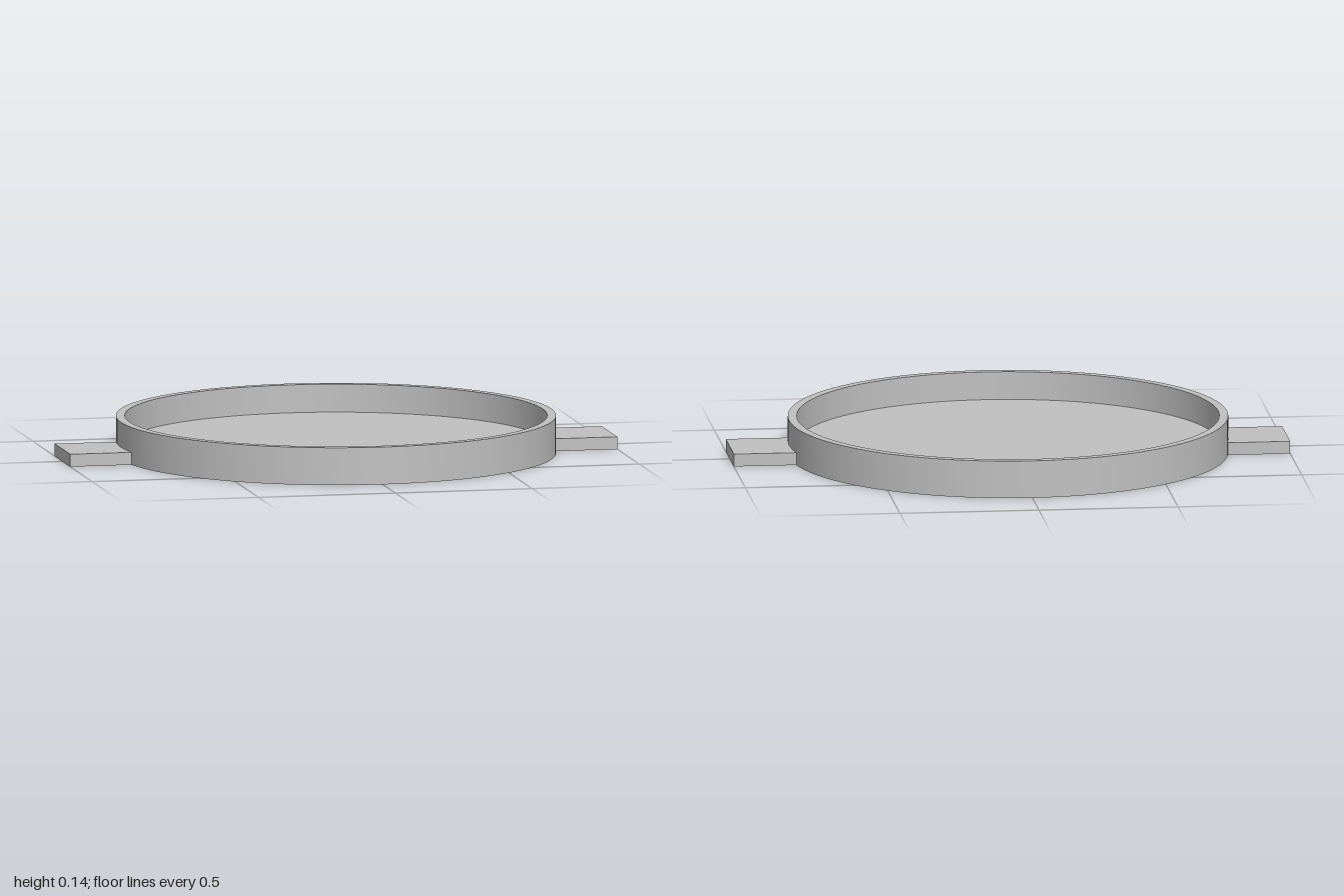
import * as THREE from 'three';
import { toCreasedNormals } from 'three/addons/utils/BufferGeometryUtils.js';

export function createModel() {
  const model = new THREE.Group();
  model.name = 'roundTray';
  const grey = new THREE.MeshStandardMaterial({ color: 0xc0c0c0 });
  grey.name = 'lightGrey';

  // Shallow round dish: base, outer wall, rim, inner wall and floor
  const outer = 0.787, inner = 0.755, height = 0.135, floor = 0.034;
  const profile = [
    [0, 0], [outer, 0], [outer, height], [inner, height], [inner, floor], [0, floor],
  ].map(([x, y]) => new THREE.Vector2(x, y));
  const dish = new THREE.Mesh(toCreasedNormals(new THREE.LatheGeometry(profile, 128), 0.6), grey);
  dish.name = 'dish';
  model.add(dish);

  // Flat tab handles, running through the wall and just into the dish
  const start = 0.742, end = 1, thickness = 0.045;
  for (const side of [1, -1]) {
    const handle = new THREE.Mesh(new THREE.BoxGeometry(end - start, thickness, 0.262), grey);
    handle.position.set(side * (start + end) / 2, thickness / 2, 0);
    handle.name = side > 0 ? 'leftHandle' : 'rightHandle';
    model.add(handle);
  }
  return model;
}
